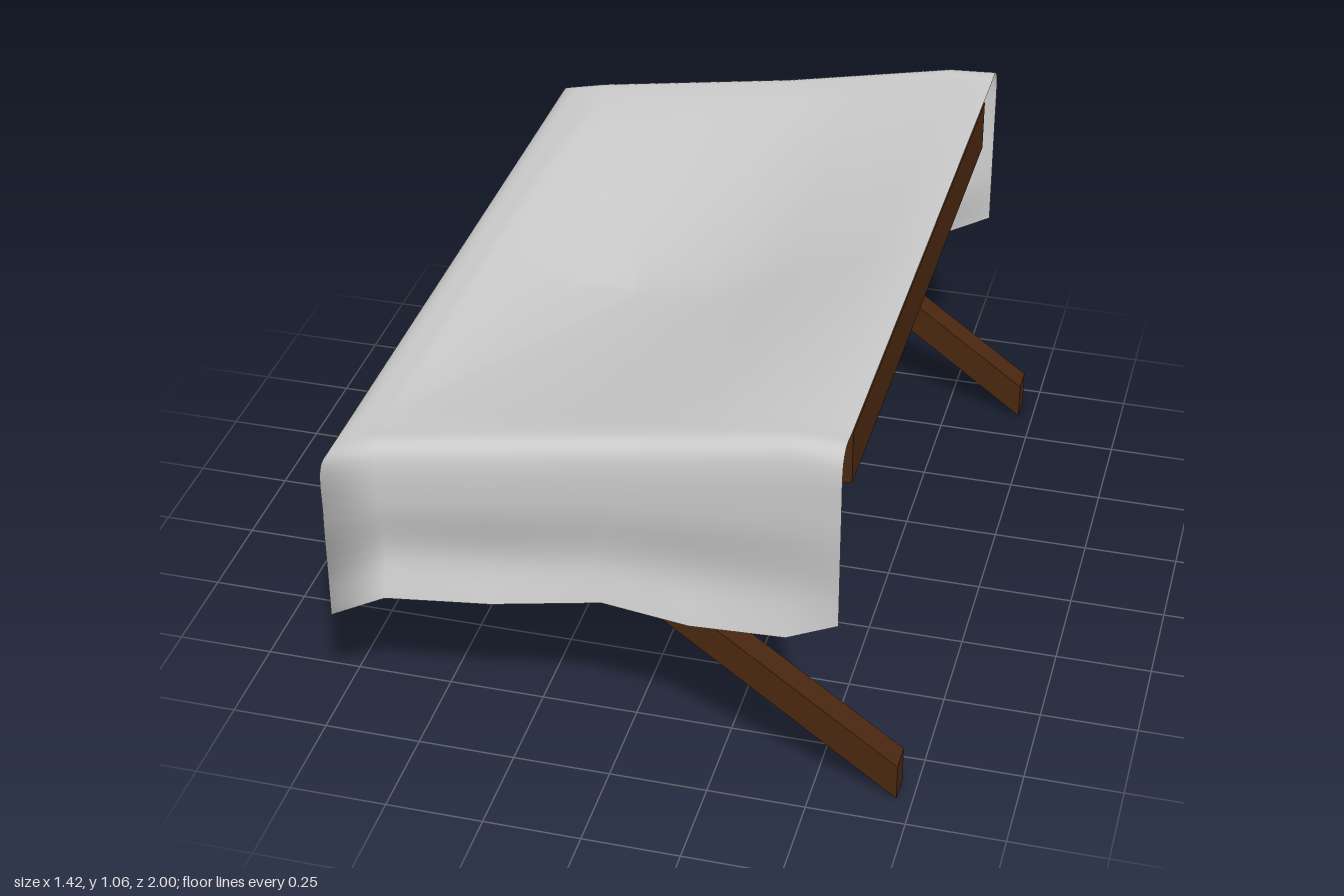
import * as THREE from 'three';

const wood = new THREE.MeshStandardMaterial({ color: 0x4a2810 });
const fabric = new THREE.MeshStandardMaterial({ color: 0xcccccc, side: THREE.DoubleSide });

// Piecewise linear height of the sloping cover along x
const ridge = [[-0.71, 0.835], [-0.68, 0.845], [-0.55, 0.875], [-0.05, 0.95], [0.45, 1.05], [0.57, 1.055]];
function topY(x) {
  let i = 1;
  while (i < ridge.length - 1 && x > ridge[i][0]) i++;
  const [a, b] = [ridge[i - 1], ridge[i]];
  return THREE.MathUtils.mapLinear(x, a[0], b[0], a[1], b[1]);
}

// The cloth hangs down between the beams
function sag(x, z) {
  const u = THREE.MathUtils.clamp((x + 0.58) / 1.06, 0, 1);
  return 0.135 * Math.sin(Math.PI * u ** 0.8) * Math.max(0, 1 - (Math.abs(z) / 0.88) ** 1.4);
}

// Wooden bar: side outline in x/y, extruded across z
function bar(name, outline, z, width) {
  const shape = new THREE.Shape(outline.map(([x, y]) => new THREE.Vector2(x, y)));
  const geo = new THREE.ExtrudeGeometry(shape, { depth: width, bevelEnabled: false });
  geo.translate(0, 0, z - width / 2);
  const mesh = new THREE.Mesh(geo, wood);
  mesh.name = name;
  return mesh;
}

// Part of the sloping frame from x0 to x1, its lower front edge cut back
function slopedOutline(x0, x1, cut = 0) {
  const low = (x) => 0.68 + 0.161 * (x + 0.62);
  return [[x0, low(x0)], [x1 - cut, low(x1 - cut)], [x1, low(x1) + 0.142], [x0, low(x0) + 0.142]];
}

// Columns around the three hanging sides: position, hem height, pinch, hem inset, inward direction
function clothColumns() {
  const xs = [0.57, 0.44, 0.2, -0.02, -0.3, -0.57];
  const hemLeft = [0.57, 0.5, 0.485, 0.505, 0.455, 0.43];
  const hemRight = [0.57, 0.5, 0.483, 0.467, 0.45, 0.43];
  const edgeLeft = [1, 0.985, 0.98, 0.97, 0.98, 0.99];
  const pinch = [0, 0.025, 0.035, 0.02, 0.035, 0.03];
  const side = (s, hem, edge) => xs.map((x, i) => (
    { x, z: s * edge[i], hem: hem[i], pinch: pinch[i], hemIn: 0, dx: 0, dz: -s }));
  const corner = (s) => ({ x: -0.71, z: s, hem: 0.36, pinch: 0, hemIn: 0, dx: 1, dz: -s });
  const back = [[0.8, 0.36, 0.04], [0.45, 0.36, 0.055], [0.12, 0.36, 0.01], [0, 0.385, 0],
    [-0.12, 0.36, 0.01], [-0.45, 0.36, 0.055], [-0.8, 0.36, 0.04]].map(([z, hem, hemIn]) => (
    { x: -0.71, z, hem, pinch: 0.025 + hemIn * 0.4, hemIn, dx: 1, dz: 0 }));
  return [
    ...side(1, hemLeft, edgeLeft), corner(1), ...back, corner(-1),
    ...side(-1, hemRight, xs.map(() => 0.997)).reverse(),
  ];
}

// Cloth: each column runs from the middle of the top, over the rim, down to the hem
function clothGeometry() {
  const columns = clothColumns();
  const topSteps = 14, dropSteps = 24;
  const pos = [], index = [];
  for (const c of columns) {
    const at = (inset, y) => new THREE.Vector3(c.x + c.dx * inset, y, c.z + c.dz * inset);
    const shoulder = at(0.1, 0);
    shoulder.y = topY(shoulder.x) - sag(shoulder.x, shoulder.z);
    const spineX = Math.max(c.x, -0.2);
    for (let i = 0; i < topSteps; i++) {
      const t = i / topSteps;
      const x = THREE.MathUtils.lerp(spineX, shoulder.x, t);
      const z = shoulder.z * t;
      pos.push(x, topY(x) - sag(x, z), z);
    }
    const rim = topY(c.x + c.dx * 0.03);
    const drop = rim - c.hem;
    const curve = new THREE.CatmullRomCurve3([
      shoulder,
      at(0.035, rim),
      at(0.006, rim - 0.03),
      at(0, rim - drop * 0.38),
      at(c.pinch, rim - drop * 0.74),
      at(c.hemIn, c.hem),
    ]);
    for (let i = 0; i <= dropSteps; i++) pos.push(...curve.getPoint(i / dropSteps).toArray());
  }
  const rows = topSteps + dropSteps + 1;
  for (let c = 0; c < columns.length - 1; c++) {
    for (let r = 0; r < rows - 1; r++) {
      const a = c * rows + r, b = a + rows;
      index.push(a, b, a + 1, b, b + 1, a + 1);
    }
  }
  const geo = new THREE.BufferGeometry();
  geo.setAttribute('position', new THREE.Float32BufferAttribute(pos, 3));
  geo.setIndex(index);
  geo.computeVertexNormals();
  // Keep the outer side as the front face
  if (geo.attributes.normal.getY(4) < 0) {
    geo.setIndex(index.reverse());
    geo.computeVertexNormals();
  }
  // Share one normal along the seam where both halves meet on the middle line
  const n = geo.attributes.normal;
  const last = columns.length - 1;
  for (let c = 0; c <= last / 2; c++) {
    const a = c * rows, b = (last - c) * rows;
    const v = new THREE.Vector3(n.getX(a) + n.getX(b), n.getY(a) + n.getY(b), 0).normalize();
    n.setXYZ(a, v.x, v.y, v.z);
    n.setXYZ(b, v.x, v.y, v.z);
  }
  return geo;
}

export function createModel() {
  const model = new THREE.Group();
  model.name = 'awning';

  // Sloping rectangular frame
  const frame = new THREE.Group();
  frame.name = 'frame';
  const mid = -0.01;
  frame.add(bar('frontBeam', slopedOutline(0.49, 0.56), mid, 1.7));
  frame.add(bar('backBeam', slopedOutline(-0.62, -0.55), mid, 1.7));

  // Side rails, each with a diagonal strut below
  for (const [side, s] of [['left', 1], ['right', -1]]) {
    const z = mid + s * 0.885;
    frame.add(bar(side + 'Rail', slopedOutline(-0.62, 0.555, 0.09), z, 0.075));
    frame.add(bar(side + 'Strut', [[0.71, 0], [0.71, 0.1], [-0.2, 0.76], [-0.32, 0.76]], z, 0.074));
  }
  model.add(frame);

  // Draped cover, open at one end
  const cloth = new THREE.Mesh(clothGeometry(), fabric);
  cloth.name = 'clothCover';
  model.add(cloth);
  return model;
}
